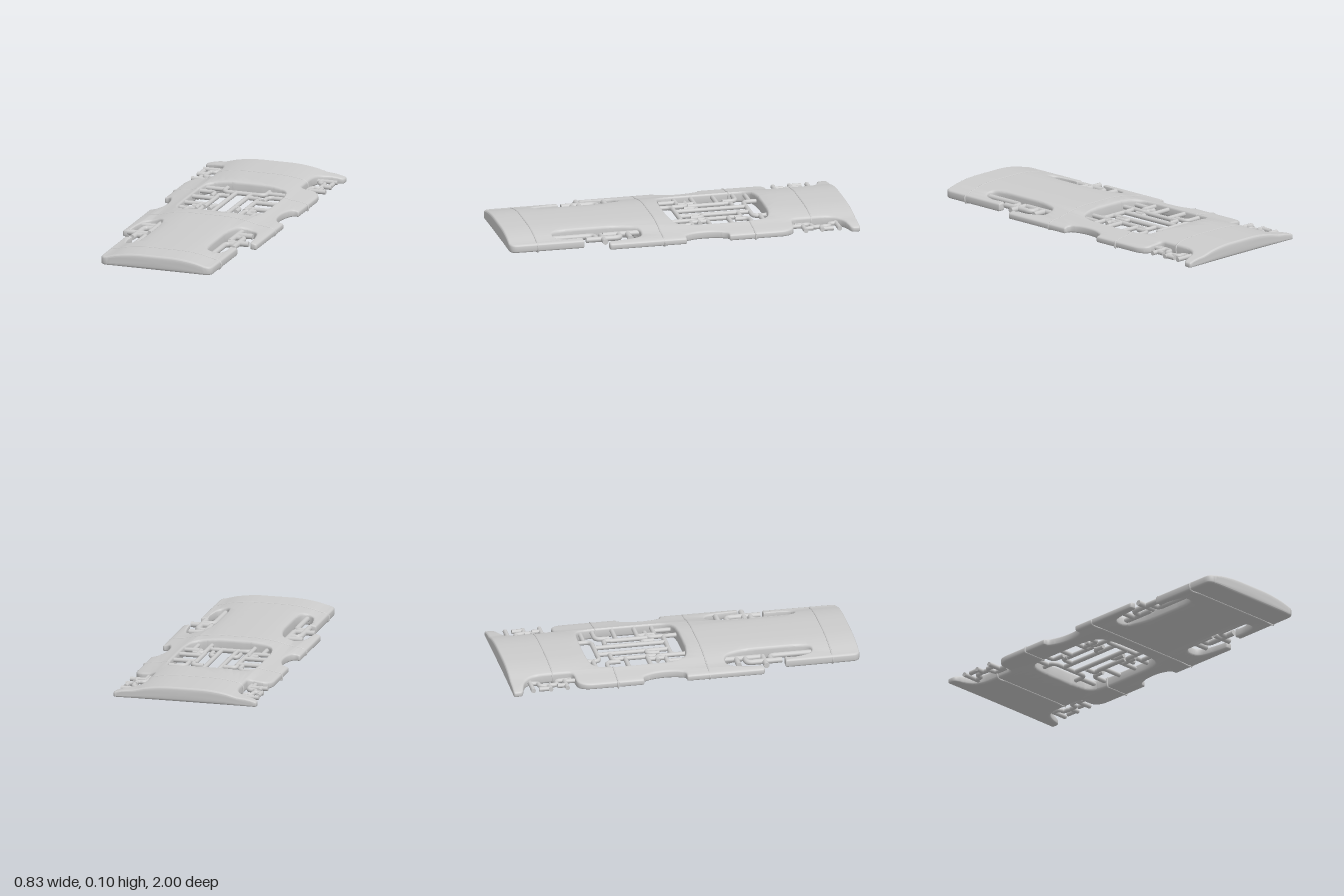
import * as THREE from 'three';
import { toCreasedNormals } from 'three/addons/utils/BufferGeometryUtils.js';

const BOTTOM = 0.006;
// Height of the crowned top surface at |x|
const CROWN = [[0, 0.088], [0.1, 0.088], [0.15, 0.085], [0.2, 0.079], [0.24, 0.072], [0.27, 0.064],
  [0.3, 0.056], [0.35, 0.051], [0.38, 0.045], [0.42, 0.034]];

function topAt(x) {
  const a = Math.min(Math.abs(x), 0.42);
  let i = 1;
  while (i < CROWN.length - 1 && CROWN[i][0] < a) i++;
  const [x0, y0] = CROWN[i - 1], [x1, y1] = CROWN[i];
  return y0 + (y1 - y0) * (a - x0) / (x1 - x0);
}

// Closed outline with each corner [x, z, radius] rounded off
function roundedOutline(path, corners) {
  const n = corners.length;
  corners.forEach(([x, z, r], i) => {
    const p = new THREE.Vector2(x, -z);
    const toward = ([qx, qz]) => {
      const d = new THREE.Vector2(qx, -qz).sub(p);
      return p.clone().add(d.setLength(Math.min(r, d.length() * 0.48)));
    };
    const a = toward(corners[(i + n - 1) % n]), b = toward(corners[(i + 1) % n]);
    if (i === 0) path.moveTo(a.x, a.y); else path.lineTo(a.x, a.y);
    path.quadraticCurveTo(p.x, p.y, b.x, b.y);
  });
  path.closePath();
  return path;
}

const mirrored = (half) => [...half, ...half.map(([x, z, r]) => [-x, z, r]).reverse()];

// Split triangles along a plane of constant x, so the crown can bend them
function splitAt(tris, cut) {
  const out = [];
  for (const t of tris) {
    const above = [], below = [];
    for (let i = 0; i < 3; i++) {
      const p = t[i], q = t[(i + 1) % 3];
      const dp = p.x - cut, dq = q.x - cut;
      if (dp >= 0) above.push(p);
      if (dp <= 0) below.push(p);
      if (dp * dq < 0) {
        // interpolate in a fixed direction so neighbours match exactly
        const m = dp < 0 ? p.clone().lerp(q, dp / (dp - dq)) : q.clone().lerp(p, dq / (dq - dp));
        above.push(m);
        below.push(m);
      }
    }
    for (const poly of [above, below])
      for (let i = 1; i + 1 < poly.length; i++) out.push([poly[0], poly[i], poly[i + 1]]);
  }
  return out;
}

function crownedPlate() {
  const half = [
    [0.415, -1, 0.012], [0.415, -0.95, 0.02], [0.31, -0.92, 0.05], [0.27, -0.86, 0.06],
    [0.27, -0.635, 0.03], [0.37, -0.63, 0.03], [0.4, -0.58, 0.04],
    [0.4, -0.25, 0.01], [0.365, -0.25, 0.03], [0.335, -0.17, 0.05], [0.335, -0.07, 0.05],
    [0.36, -0.005, 0.02], [0.4, -0.005, 0.01],
    [0.4, 0.44, 0.015], [0.36, 0.44, 0.015], [0.35, 0.31, 0.06], [0.325, 0.235, 0.05],
    [0.235, 0.235, 0.05], [0.2, 0.36, 0.06], [0.2, 0.66, 0.06], [0.215, 0.735, 0.04],
    [0.275, 0.735, 0.04], [0.297, 0.64, 0.05], [0.292, 0.572, 0.004], [0.335, 0.572, 0.004],
    [0.333, 1, 0.045],
  ];
  const shape = roundedOutline(new THREE.Shape(), mirrored(half));
  const windowHalf = [[0.13, -0.53, 0.08], [0.235, -0.51, 0.07], [0.252, -0.4, 0.06],
    [0.25, -0.07, 0.06], [0.225, 0.02, 0.05], [0.12, 0.04, 0.06]];
  // The hole runs the opposite way round to the outline
  shape.holes.push(roundedOutline(new THREE.Path(), mirrored(windowHalf).reverse()));
  const flat = new THREE.ExtrudeGeometry(shape, {
    depth: 0.56, bevelThickness: 0.22, bevelSize: 0.012, bevelOffset: -0.012,
    bevelSegments: 3, curveSegments: 6,
  }).toNonIndexed();

  const pos = flat.attributes.position;
  let tris = [];
  for (let i = 0; i < pos.count; i += 3)
    tris.push([0, 1, 2].map((k) => new THREE.Vector3().fromBufferAttribute(pos, i + k)));
  for (const [x] of CROWN) for (const s of x ? [-1, 1] : [1]) tris = splitAt(tris, s * x);

  // Lay flat and stretch each point between the base and the crown
  const pts = tris.flat().map((p) => new THREE.Vector3(
    p.x, BOTTOM + (p.z + 0.22) * (topAt(p.x) - BOTTOM), -p.y));
  // Enlarged while creasing, since that step merges points closer than 0.01
  const large = new THREE.BufferGeometry().setFromPoints(pts).scale(100, 100, 100);
  return toCreasedNormals(large, 0.65).scale(0.01, 0.01, 0.01);
}

// Pipe route with rounded elbows
function pipeCurve(v) {
  const curve = new THREE.CurvePath();
  let start = v[0];
  for (let i = 1; i < v.length - 1; i++) {
    const near = (q) => v[i].clone().add(
      q.clone().sub(v[i]).setLength(Math.min(0.035, q.distanceTo(v[i]) * 0.45)));
    const a = near(v[i - 1]), b = near(v[i + 1]);
    curve.add(new THREE.LineCurve3(start, a));
    curve.add(new THREE.QuadraticBezierCurve3(a, v[i], b));
    start = b;
  }
  curve.add(new THREE.LineCurve3(start, v[v.length - 1]));
  return curve;
}

export function createModel() {
  const model = new THREE.Group();
  const mat = new THREE.MeshStandardMaterial({ color: 0xcccccc });
  const add = (name, geo, parent = model) => {
    const mesh = new THREE.Mesh(geo, mat);
    mesh.name = name;
    parent.add(mesh);
    return mesh;
  };

  add('plate', crownedPlate());

  // Thin seam bands wrapped round the plate
  const seam = (z, x0, x1) => {
    const pts = [];
    const n = 24;
    for (let i = 0; i <= n; i++) {
      const x = x0 + (x1 - x0) * i / n;
      const edge = i === 0 || i === n ? 0.012 : 0.001;
      pts.push(new THREE.Vector3(x, topAt(x) - edge, z));
    }
    for (let i = 0; i <= 8; i++)
      pts.push(new THREE.Vector3(x1 + (x0 - x1) * (0.01 + 0.98 * i / 8), BOTTOM, z));
    add('seamBand', new THREE.TubeGeometry(new THREE.CatmullRomCurve3(pts, true), 90, 0.005, 8, true));
  };
  seam(-0.75, -0.27, 0.27);
  seam(-0.4, 0.252, 0.402);
  seam(-0.4, -0.402, -0.252);
  seam(0.125, -0.402, 0.402);
  seam(0.84, -0.335, 0.335);

  // Pipework, each set given for +x and mirrored
  const pipes = {
    windowPipes: { y: 0.048, r: 0.013, runs: [
      [[0.045, -0.45], [0.045, -0.035]],
      [[0, -0.45], [0.125, -0.45], [0.125, -0.54]],
      [[0, -0.04], [0.125, -0.04], [0.125, 0.05]],
      [[0.27, -0.49], [0.125, -0.49]],
      [[0.27, -0.42], [0.155, -0.42], [0.155, -0.34]],
      [[0.125, -0.34], [0.125, -0.38], [0.06, -0.38]],
      [[0.27, -0.305], [0.12, -0.305]],
      [[0.27, -0.18], [0.12, -0.18]],
      [[0.12, -0.34], [0.12, -0.13]],
      [[0.155, -0.18], [0.155, -0.08]],
      [[0.27, -0.08], [0.155, -0.08]],
      [[0.045, -0.17], [0.08, -0.17], [0.08, -0.1]],
      [[0.125, 0.03], [0.125, -0.13], [0.19, -0.13]],
      [[0.2, -0.08], [0.2, 0.02]],
    ] },
    frontPipes: { y: 0.042, r: 0.016, runs: [
      [[0.24, 0.22], [0.24, 0.445]],
      [[0.33, 0.305], [0.24, 0.305]],
      [[0.36, 0.457], [0.24, 0.457]],
      [[0.24, 0.355], [0.3, 0.355], [0.3, 0.555]],
      [[0.3, 0.495], [0.237, 0.495], [0.237, 0.74]],
    ] },
    rearPipes: { y: 0.03, r: 0.013, runs: [
      [[0.4, -0.885], [0.26, -0.885]],
      [[0.4, -0.69], [0.29, -0.69]],
      [[0.31, -0.69], [0.31, -0.62]],
      [[0.4, -0.785], [0.345, -0.785], [0.345, -0.84], [0.305, -0.84], [0.305, -0.89]],
      [[0.385, -0.85], [0.385, -0.785]],
      [[0.345, -0.785], [0.345, -0.74], [0.295, -0.74], [0.295, -0.65]],
      [[0.36, -0.74], [0.36, -0.69]],
    ] },
  };
  for (const [name, { y, r, runs }] of Object.entries(pipes)) {
    const group = new THREE.Group();
    group.name = name;
    model.add(group);
    for (const run of runs) for (const s of [1, -1]) {
      const v = run.map(([x, z]) => new THREE.Vector3(s * x, y, z));
      add('pipe', new THREE.TubeGeometry(pipeCurve(v), v.length > 2 ? 32 : 1, r, 12), group);
      // Flat caps facing outward along the pipe
      for (const [end, inner] of [[v[0], v[1]], [v[v.length - 1], v[v.length - 2]]]) {
        const cap = add('pipeCap', new THREE.CircleGeometry(r, 12), group);
        cap.position.copy(end);
        cap.lookAt(end.clone().multiplyScalar(2).sub(inner));
      }
    }
  }
  return model;
}
